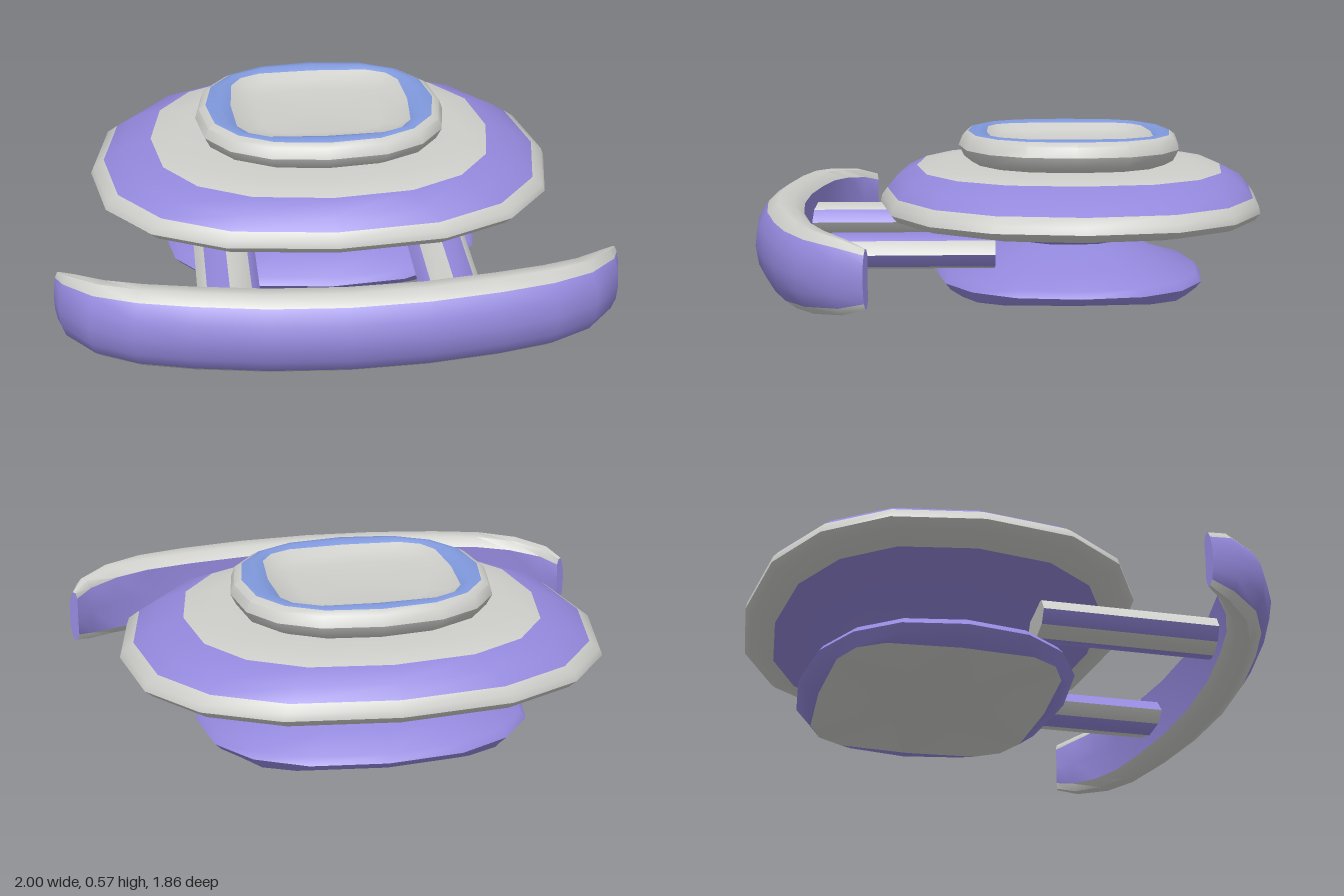
import * as THREE from 'three';
import { toCreasedNormals } from 'three/addons/utils/BufferGeometryUtils.js';

const violet = new THREE.MeshStandardMaterial({ name: 'violet', color: 0x9388dc });
const grey = new THREE.MeshStandardMaterial({ name: 'light grey', color: 0xcdcdca });
const blue = new THREE.MeshStandardMaterial({ name: 'blue', color: 0x8099dd });
const MATS = [violet, grey, blue];
const V = 0, G = 1, B = 2;

// Skin a stack of closed rings; colour(i, j) picks the material of each quad
function loft(name, rings, colour, startCap, endCap) {
  const n = rings[0].length;
  const pos = rings.flat(2);
  const faces = [[], [], []];
  for (let i = 0; i < rings.length - 1; i++) {
    for (let j = 0; j < n; j++) {
      const k = (j + 1) % n;
      const a = i * n + j, b = i * n + k, c = a + n, d = b + n;
      faces[colour(i, j)].push(a, b, d, a, d, c);
    }
  }
  const cap = (i, col, flip) => {
    const mid = [0, 1, 2].map(q => rings[i].reduce((s, p) => s + p[q], 0) / n);
    const m = pos.length / 3;
    pos.push(...mid);
    for (let j = 0; j < n; j++) {
      const a = i * n + j, b = i * n + (j + 1) % n;
      faces[col].push(m, ...(flip ? [b, a] : [a, b]));
    }
  };
  cap(0, startCap, true);
  cap(rings.length - 1, endCap, false);

  const geo = new THREE.BufferGeometry();
  geo.setAttribute('position', new THREE.Float32BufferAttribute(pos, 3));
  geo.setIndex(faces.flat());
  let start = 0;
  faces.forEach((f, m) => {
    if (f.length) geo.addGroup(start, f.length, m);
    start += f.length;
  });
  const mesh = new THREE.Mesh(toCreasedNormals(geo, 0.75), MATS);
  mesh.name = name;
  return mesh;
}

// Horizontal 16-sided ring; a lower e makes it squarer
function ring([rx, rz, y, e = 0.83]) {
  const p = v => (Math.abs(v) < 1e-6 ? 0 : Math.sign(v) * Math.abs(v) ** e);
  return Array.from({ length: 16 }, (_, j) => {
    const t = (j / 16) * Math.PI * 2;
    return [rx * p(Math.cos(t)), y, -0.232 - rz * p(Math.sin(t))];
  });
}

// Round part from [rx, rz, y, e] rows with one colour per band
function disc(name, rows, bands, startCap, endCap) {
  return loft(name, rows.map(ring), i => bands[i], startCap, endCap);
}

// Curved bumper swept from tip to tip
function makeBumper() {
  // x, z, half depth, half height from the middle outwards
  const half = [
    [0, 0.84, 0.09, 0.15], [0.27, 0.825, 0.088, 0.15], [0.52, 0.785, 0.085, 0.15],
    [0.7, 0.742, 0.08, 0.148], [0.84, 0.678, 0.07, 0.14], [0.945, 0.58, 0.045, 0.125],
    [0.984, 0.503, 0.018, 0.1],
  ];
  const stations = [
    ...half.slice(1).reverse().map(([x, ...r]) => [-x, ...r]),
    ...half,
  ];
  // Cross-section: outward, up
  const section = [
    [1, 0], [0.87, -0.45], [0.5, -0.8], [0, -1], [-0.6, -0.97], [-1, -0.75],
    [-0.95, 0], [-1, 0.75], [-0.6, 0.97], [0, 1], [0.5, 0.8], [0.87, 0.45],
  ];
  const last = stations.length - 1;
  const rings = stations.map(([x, z, d, h], i) => {
    const a = stations[Math.max(i - 1, 0)], b = stations[Math.min(i + 1, last)];
    const dx = b[0] - a[0], dz = b[1] - a[1], len = Math.hypot(dx, dz);
    return section.map(([o, u]) => [x - (dz / len) * o * d, 0.19 + u * h, z + (dx / len) * o * d]);
  });
  const greyFaces = [2, 3, 4, 7, 8, 9];
  return loft('bumper', rings, (i, j) => (greyFaces.includes(j) ? G : V), V, V);
}

// Eight-sided strut with alternating coloured faces
function makeStrut(name, side) {
  const rings = [0.06, 0.8].map(z => Array.from({ length: 8 }, (_, j) => {
    const t = (j / 8) * Math.PI * 2;
    return [side * 0.39 + 0.11 * Math.cos(t), 0.187 + 0.065 * Math.sin(t), z];
  }));
  const odd = side > 0 ? V : G, even = side > 0 ? G : V;
  return loft(name, rings, (i, j) => (j % 2 ? odd : even), G, G);
}

export function createModel() {
  const model = new THREE.Group();
  model.name = 'saucer';

  // Foot narrowing up to the neck
  model.add(disc('pedestal', [
    [0.5, 0.42, 0.003, 0.5], [0.58, 0.475, 0.02], [0.605, 0.495, 0.045],
    [0.585, 0.475, 0.07], [0.43, 0.35, 0.11], [0.25, 0.2, 0.18], [0.25, 0.2, 0.19],
  ], [V, V, V, V, V, V], G, V));

  // Wide banded disc
  model.add(disc('body', [
    [0.25, 0.2, 0.18], [0.28, 0.22, 0.198], [0.6, 0.49, 0.245], [0.74, 0.59, 0.265],
    [0.84, 0.68, 0.285], [0.87, 0.7, 0.31], [0.86, 0.695, 0.335], [0.82, 0.675, 0.363],
    [0.75, 0.64, 0.405], [0.64, 0.565, 0.444], [0.53, 0.46, 0.46], [0.38, 0.34, 0.462],
  ], [V, V, V, G, G, G, G, V, V, G, G], V, G));

  // Dished cushion with a blue rim
  model.add(disc('seat', [
    [0.39, 0.34, 0.452], [0.45, 0.39, 0.48], [0.47, 0.41, 0.52], [0.457, 0.395, 0.557],
    [0.43, 0.375, 0.572], [0.38, 0.34, 0.577, 0.7], [0.335, 0.305, 0.567, 0.5],
    [0.3, 0.275, 0.542, 0.5], [0.23, 0.2, 0.53, 0.5],
  ], [G, G, G, G, B, B, G, G], G, G));

  model.add(makeBumper());
  model.add(makeStrut('leftStrut', 1), makeStrut('rightStrut', -1));
  return model;
}
